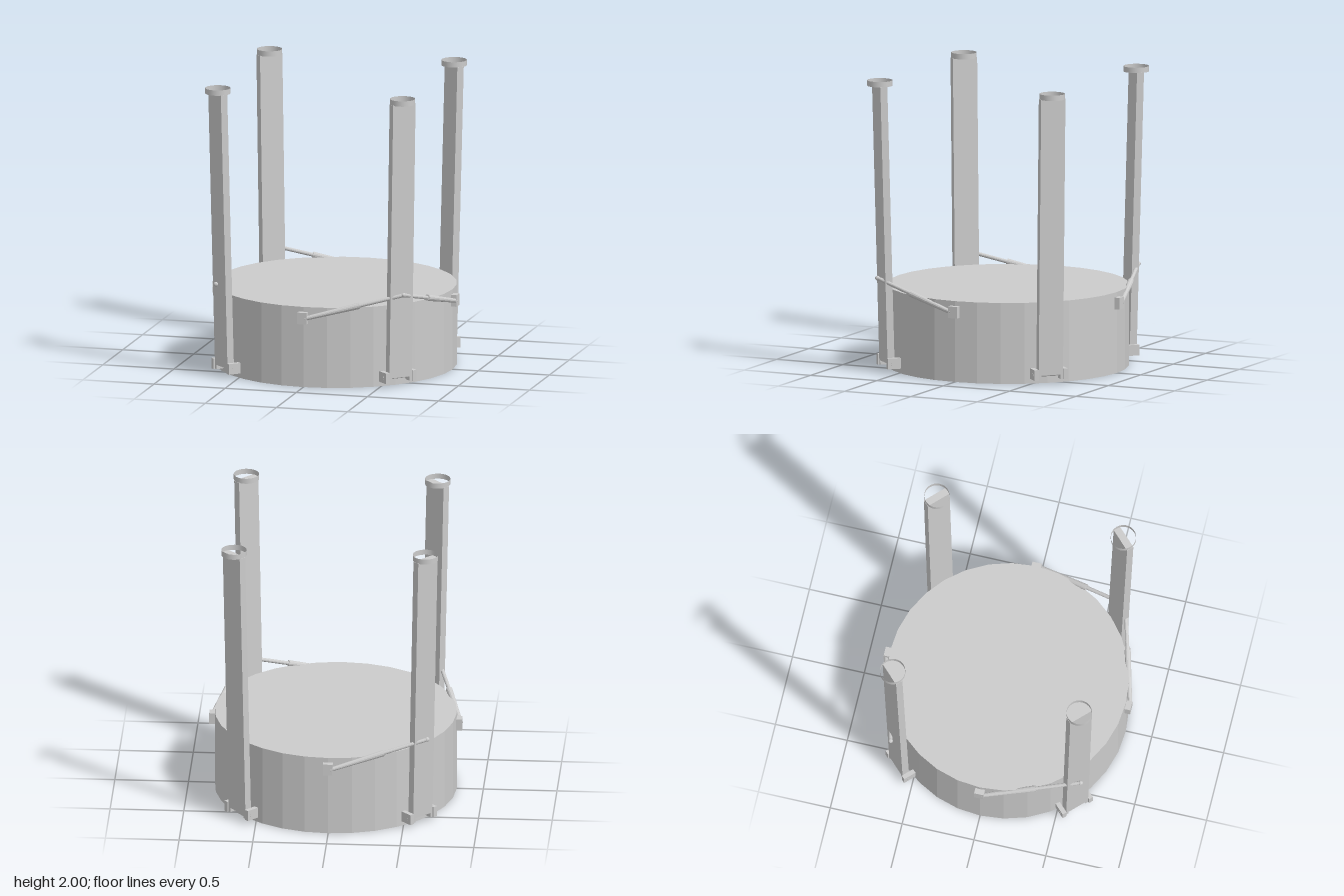
import * as THREE from 'three';

const material = new THREE.MeshStandardMaterial({ color: 0xcccccc, flatShading: true });
const openMaterial = new THREE.MeshStandardMaterial({ color: 0xcccccc, side: THREE.DoubleSide });

function add(parent, name, geometry, x = 0, y = 0, z = 0, mat = material) {
  const mesh = new THREE.Mesh(geometry, mat);
  mesh.name = name;
  mesh.position.set(x, y, z);
  parent.add(mesh);
  return mesh;
}

// Cylinder running from a to b, with its own radius at each end
function addRod(parent, name, a, b, ra, rb, sides = 12) {
  const dir = b.clone().sub(a);
  const mid = a.clone().add(b).multiplyScalar(0.5);
  const rod = add(parent, name, new THREE.CylinderGeometry(rb, ra, dir.length(), sides), mid.x, mid.y, mid.z);
  rod.quaternion.setFromUnitVectors(new THREE.Vector3(0, 1, 0), dir.normalize());
  return rod;
}

// Flat post with a notched foot, leaning outwards (local +z) as it rises
function legGeometry() {
  const w = 0.087, n = 0.068, top = 1.965;
  const shape = new THREE.Shape([
    [-w, 0.035], [-n, 0.035], [-n, 0.065], [n, 0.065],
    [n, 0.035], [w, 0.035], [w, top], [-w, top],
  ].map(([x, y]) => new THREE.Vector2(x, y)));
  const geo = new THREE.ExtrudeGeometry(shape, { depth: 0.05, bevelEnabled: false });
  const p = geo.attributes.position;
  for (let i = 0; i < p.count; i++) p.setZ(i, p.getZ(i) + 0.84 + 0.054 * p.getY(i) / top);
  geo.computeVertexNormals();
  return geo;
}

function createLeg(angle) {
  const leg = new THREE.Group();
  leg.name = 'leg';
  leg.rotation.y = angle;
  add(leg, 'post', legGeometry());
  add(leg, 'topRing', new THREE.CylinderGeometry(0.086, 0.086, 0.037, 32, 1, true), 0, 1.9815, 0.918, openMaterial);
  // Hinge cheeks on both sides of the foot, joined by a pin
  for (const s of [-1, 1]) {
    add(leg, 'hingeCheek', new THREE.BoxGeometry(0.031, 0.073, 0.11), s * 0.1045, 0.0685, 0.845);
  }
  const pin = add(leg, 'hingePin', new THREE.CylinderGeometry(0.012, 0.012, 0.244, 8), 0, 0.066, 0.865);
  pin.rotation.z = Math.PI / 2;
  return leg;
}

// Telescopic strut from a side bracket (angle) to the leg an eighth turn away
function createStrut(angle, side) {
  const strut = new THREE.Group();
  strut.name = 'strut';
  strut.rotation.y = angle;
  add(strut, 'strutBracket', new THREE.BoxGeometry(0.066, 0.08, 0.06), 0, 0.482, 0.828);
  const start = new THREE.Vector3(side * 0.015, 0.48, 0.847);
  const end = new THREE.Vector3(side * 0.662, 0.642, 0.66);
  const middle = start.clone().lerp(end, 0.55);
  addRod(strut, 'strutSleeve', start, middle, 0.014, 0.022);
  addRod(strut, 'strutRod', middle, end, 0.013, 0.013);
  add(strut, 'strutJoint', new THREE.SphereGeometry(0.016, 12, 8), end.x, end.y, end.z);
  return strut;
}

export function createModel() {
  const model = new THREE.Group();
  model.name = 'drumWithFoldedLegs';

  add(model, 'drum', new THREE.CylinderGeometry(0.82, 0.82, 0.555, 32), 0, 0.2775, 0);

  for (let i = 0; i < 4; i++) model.add(createLeg(Math.PI / 4 + i * Math.PI / 2));

  // Front, left, back and right struts: [angle, direction along the tangent]
  const struts = [[0, 1], [Math.PI / 2, -1], [Math.PI, 1], [-Math.PI / 2, 1]];
  for (const [angle, side] of struts) model.add(createStrut(angle, side));

  return model;
}
